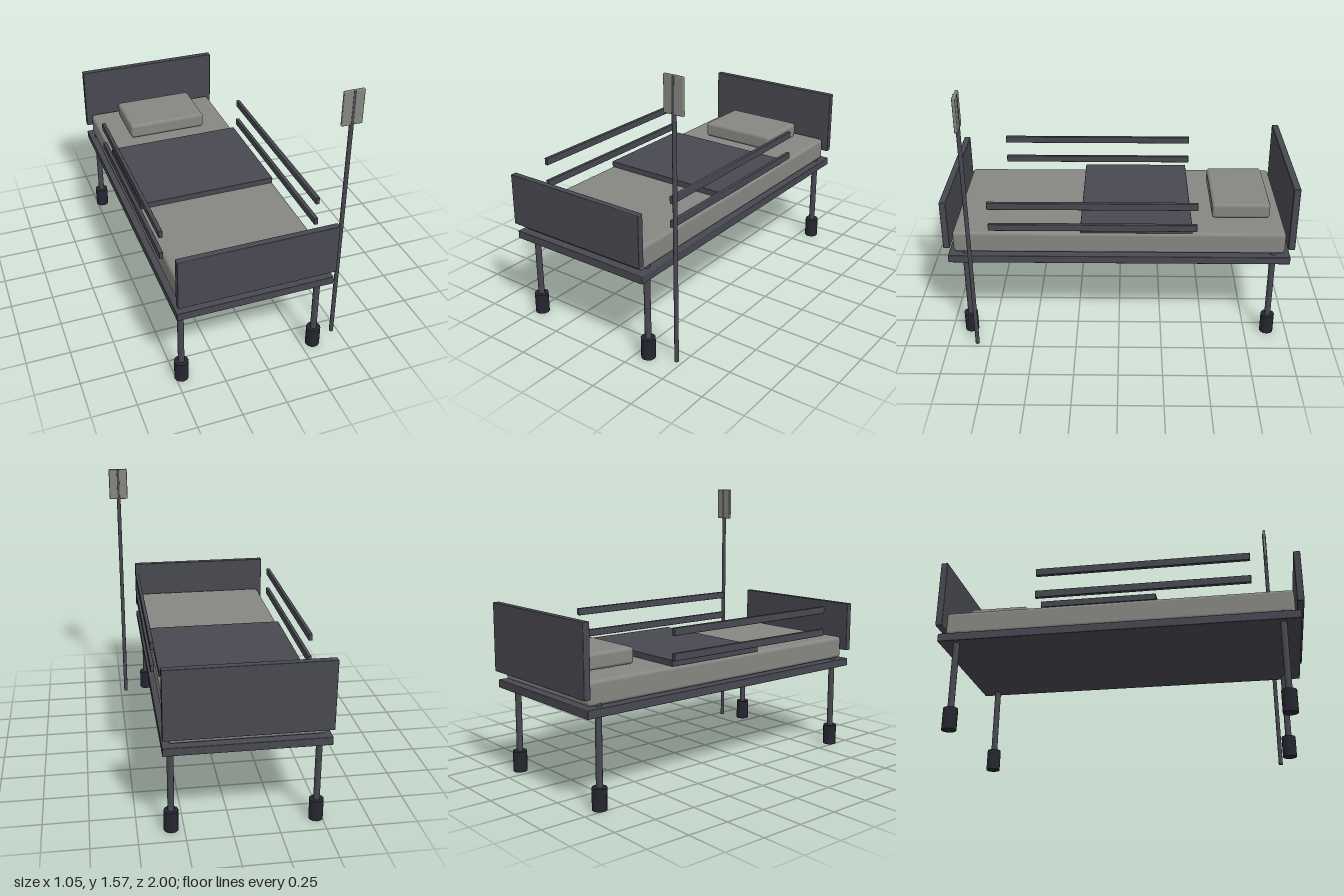
import * as THREE from 'three';
import { RoundedBoxGeometry } from 'three/addons/geometries/RoundedBoxGeometry.js';

const mat = (name, color) => {
  const m = new THREE.MeshStandardMaterial({ color });
  m.name = name;
  return m;
};

export function createModel() {
  const group = new THREE.Group();
  const frameMat = mat('dark slate', 0x484851);
  const linenMat = mat('grey linen', 0x868682);
  const casterMat = mat('black rubber', 0x262631);
  const bedX = -0.074; // centre line of the bed

  const add = (name, geometry, material, x, y, z) => {
    const mesh = new THREE.Mesh(geometry, material);
    mesh.name = name;
    mesh.position.set(x, y, z);
    group.add(mesh);
    return mesh;
  };
  // Box given by its bottom/top and back/front limits; r rounds the edges
  const slab = (name, material, x, w, y0, y1, z0, z1, r) => add(name,
    r ? new RoundedBoxGeometry(w, y1 - y0, z1 - z0, 3, r) : new THREE.BoxGeometry(w, y1 - y0, z1 - z0),
    material, x, (y0 + y1) / 2, (z0 + z1) / 2);
  // Upright round bar from y0 to y1
  const post = (name, material, r, sides, x, y0, y1, z) => add(name,
    new THREE.CylinderGeometry(r, r, y1 - y0, sides), material, x, (y0 + y1) / 2, z);

  // Bed base and end boards
  slab('bedFrame', frameMat, bedX, 0.88, 0.495, 0.541, -0.98, 0.98, 0.004);
  slab('headboard', frameMat, bedX, 0.88, 0.592, 0.98, -1, -0.961, 0.004);
  slab('footboard', frameMat, bedX, 0.88, 0.592, 0.885, 0.963, 1, 0.004);

  // Bedding
  slab('mattress', linenMat, bedX, 0.82, 0.545, 0.677, -0.951, 0.951, 0.02);
  slab('blanket', frameMat, bedX, 0.81, 0.675, 0.711, -0.417, 0.22, 0.004);
  slab('pillow', linenMat, bedX, 0.484, 0.682, 0.775, -0.877, -0.54, 0.02);

  for (const side of [-1, 1]) {
    // Two side rails
    for (const y of [0.735, 0.87]) {
      slab('sideRail', frameMat, bedX + side * 0.441, 0.022, y - 0.021, y + 0.021, -0.44, 0.735, 0.004);
    }
    // Legs with casters
    for (const z of [-0.885, 0.885]) {
      post('leg', frameMat, 0.018, 12, bedX + side * 0.393, 0.06, 0.56, z);
      post('caster', casterMat, 0.04, 12, bedX + side * 0.393, 0, 0.12, z);
    }
  }

  // Drip stand and bag
  post('dripPole', frameMat, 0.012, 12, 0.466, 0, 1.57, 0.832);
  slab('dripBag', linenMat, 0.466, 0.116, 1.378, 1.572, 0.823, 0.841, 0.005);
  return group;
}
